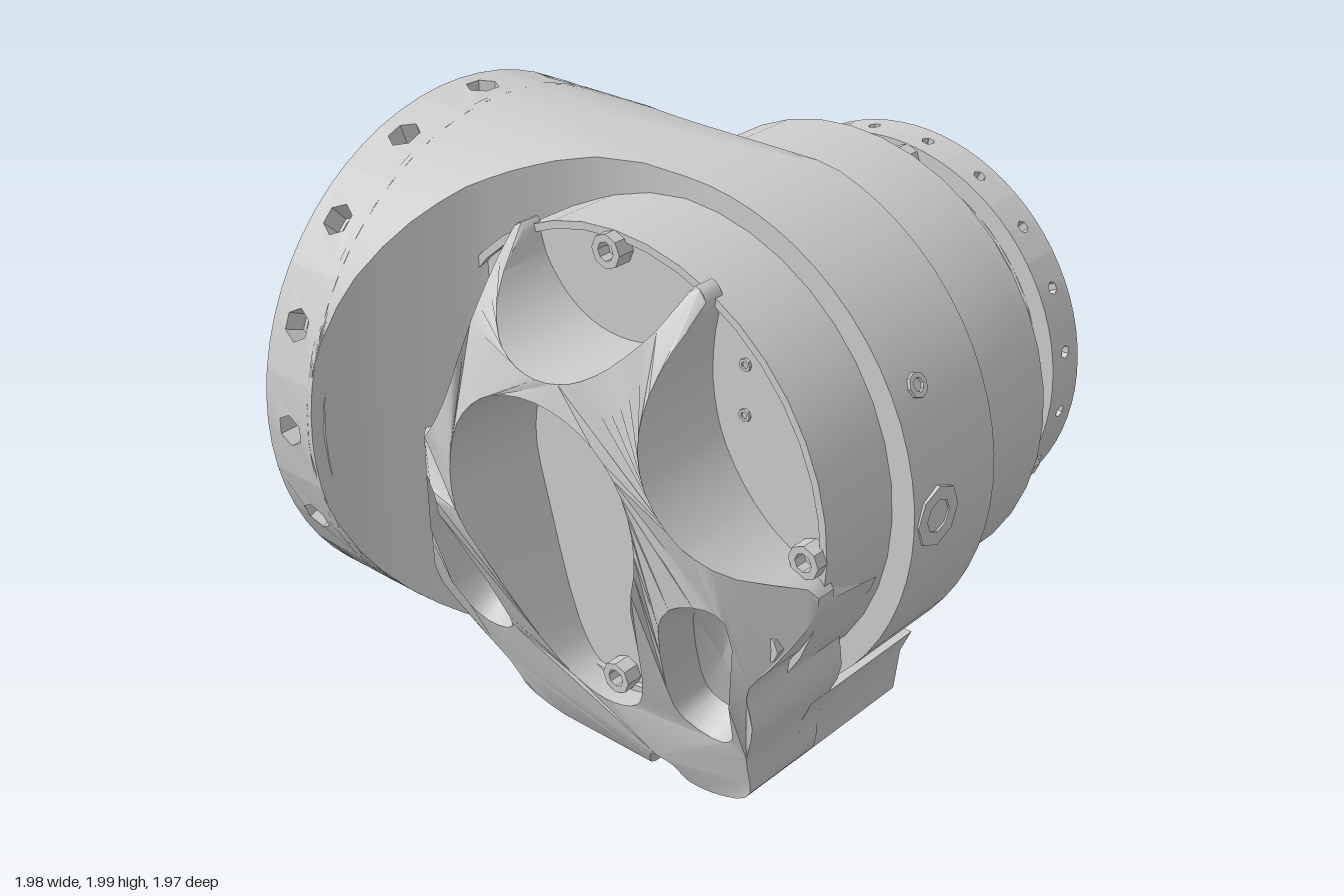
import * as THREE from 'three';
import { toCreasedNormals } from 'three/addons/utils/BufferGeometryUtils.js';

const CX = 0.1, CY = 1.1;              // main axis, along z
const FY = 1.09, FZ = 0.075, FR = 0.905; // flange axis, along x
const mat = new THREE.MeshStandardMaterial({ color: 0xcccccc, side: THREE.DoubleSide });

function add(parent, name, geo, crease = 0.5) {
  const mesh = new THREE.Mesh(toCreasedNormals(geo, crease), mat);
  mesh.name = name;
  parent.add(mesh);
  return mesh;
}
const v2 = ([x, y]) => new THREE.Vector2(x, y);
const mirror = (pts) => pts.map(([x, y]) => [2 * CX - x, y]).reverse();

// closed smooth loop through a few points
function smooth(pts, n) {
  const c = new THREE.CatmullRomCurve3(pts.map(([x, y]) => new THREE.Vector3(x, y, 0)), true, 'centripetal');
  return c.getPoints(n).slice(0, n).map((p) => [p.x, p.y]);
}
// linear interpolation in a short [key, value] list
function lookup(table, k) {
  if (k <= table[0][0]) return table[0][1];
  for (let i = 1; i < table.length; i++) {
    const [k0, a] = table[i - 1], [k1, b] = table[i];
    if (k <= k1) return a + (b - a) * (k - k0) / (k1 - k0);
  }
  return table[table.length - 1][1];
}
function polygon(x, y, r, n) {
  return Array.from({ length: n }, (_, i) => {
    const a = i / n * Math.PI * 2;
    return [x + r * Math.cos(a), y + r * Math.sin(a)];
  });
}
function extrude(outline, holes, depth, z) {
  const s = new THREE.Shape(outline.map(v2));
  holes.forEach((h) => s.holes.push(new THREE.Path(h.map(v2))));
  return new THREE.ExtrudeGeometry(s, { depth, bevelEnabled: false }).translate(0, 0, z);
}
// curved plate around the z axis with a radial hole
function bentPlate(angle, rOut, rIn, z0, z1, hole, turn) {
  const w = angle * rOut / 2, row = [-1, -0.5, 0, 0.5, 1];
  const outline = [...row.map((t) => [t * w, z0]), ...row.map((t) => [-t * w, z1])];
  const g = extrude(outline, [polygon(0, (z0 + z1) / 2, hole, 6)], rOut - rIn, rIn);
  const p = g.attributes.position;
  for (let i = 0; i < p.count; i++) {
    const a = p.getX(i) / rOut + turn, r = p.getZ(i);
    p.setXYZ(i, r * Math.cos(a), r * Math.sin(a), p.getY(i));
  }
  return g;
}
// screw head with a hex socket, facing +z
function socketScrew(parent, name, x, y, z, r, h) {
  const prof = [[r, 0], [r, h], [0.55 * r, h], [0.55 * r, 0.3 * h], [0, 0.3 * h]].map(v2);
  const m = add(parent, name, new THREE.LatheGeometry(prof, 8).rotateX(Math.PI / 2), 0.2);
  m.position.set(x, y, z);
  return m;
}

// housing: flange tube cut down to a round collar by two concave fillets
function housingGeometry() {
  const front = [[-0.79, 0.98], [-0.76, 0.92], [-0.7, 0.81], [-0.6, 0.66], [-0.5, 0.52], [-0.4, 0.42], [-0.3, 0.33], [-0.2, 0.26], [-0.05, 0.21], [0.1, 0.19]];
  const back = [[-0.79, -0.83], [-0.76, -0.72], [-0.7, -0.57], [-0.6, -0.41], [-0.5, -0.31], [-0.4, -0.25], [-0.25, -0.22]];
  const xs = [-0.79, -0.775, -0.76, -0.73, -0.7, -0.65, -0.6, -0.55, -0.5, -0.45, -0.4, -0.35, -0.3, -0.2, -0.05];
  for (let i = 0; i <= 16; i++) xs.push(CX + 0.88 * Math.sin(i / 16 * Math.PI / 2));
  const N = 28;
  const loops = xs.map((x) => {
    const hi = Math.min(lookup(front, x) - FZ, FR), lo = Math.max(lookup(back, x) - FZ, -FR);
    const h = x < CX ? FR - 0.02 * Math.max(0, (x + 0.5) / 0.6) : Math.sqrt(Math.max(0, 0.7744 - (x - CX) ** 2));
    const half = [];
    for (let i = 0; i <= N; i++) {
      const z = (hi + lo) / 2 + (hi - lo) / 2 * Math.cos(i / N * Math.PI);
      half.push([z, Math.min(h, Math.sqrt(Math.max(0, FR * FR - z * z)))]);
    }
    return [...half.map(([z, y]) => [x, FY + y, FZ + z]), ...half.reverse().map(([z, y]) => [x, FY - y, FZ + z])];
  });
  const pos = loops.flat(2), idx = [], M = loops[0].length;
  for (let s = 0; s < loops.length - 1; s++) for (let i = 0; i < M; i++) {
    const a = s * M + i, b = s * M + (i + 1) % M, c = b + M, d = a + M;
    idx.push(a, d, c, a, c, b);
  }
  const g = new THREE.BufferGeometry();
  g.setAttribute('position', new THREE.Float32BufferAttribute(pos, 3));
  g.setIndex(idx);
  return g;
}

// front surface of the guard frame: flattened dome that slopes away below
const dome = [[0.43, 0.85], [0.52, 0.81], [0.62, 0.74], [0.72, 0.64], [0.8, 0.54]];
const slope = [[0, 0.42], [0.05, 0.5], [0.15, 0.55], [0.35, 0.6], [0.95, 0.85]];
const frameZ = (x, y) => Math.min(lookup(dome, Math.hypot(x - CX, Math.max(0, y - CY))), lookup(slope, y));

function buildGuard(group) {
  const side = [[0.22, 1.57], [0.32, 1.63], [0.4, 1.73], [0.44, 1.84], [0.48, 1.81], [0.46, 1.65], [0.46, 1.5], [0.5, 1.35],
    [0.6, 1.2], [0.72, 1.1], [0.9, 1.02], [0.89, 0.92], [0.82, 0.78], [0.77, 0.7], [0.78, 0.55]];
  const bottom = [[0.7, 0.36], [0.68, 0.2], [0.56, 0.11], [0.45, 0.07], [0.38, 0.07], [0.34, 0.13], [0.25, 0.13], [0.2, 0.03],
    [0.15, 0.01], [-0.1, 0.04], [-0.28, 0.1], [-0.35, 0.22], [-0.5, 0.36]];
  const dropHalf = [[0.3, 1.43], [0.43, 1.3], [0.48, 1.1], [0.43, 0.85], [0.31, 0.45], [0.23, 0.34]];
  const drop = smooth([[CX, 1.48], ...dropHalf, [CX, 0.3], ...mirror(dropHalf)], 48);
  const slotL = [[-0.53, 0.92], [-0.48, 0.98], [-0.4, 0.98], [-0.35, 0.9], [-0.25, 0.5], [-0.28, 0.43], [-0.4, 0.4], [-0.48, 0.46]];
  const slots = [slotL, mirror(slotL)].map((s) => smooth(s, 20));
  const outline = smooth([[CX, 1.55], ...side, ...bottom, ...mirror(side)], 130);

  const g = extrude(outline, [drop, ...slots], 1, 0);
  const p = g.attributes.position;
  for (let i = 0; i < p.count; i++) {
    const x = p.getX(i), y = p.getY(i);
    p.setZ(i, p.getZ(i) > 0.5 ? frameZ(x, y) : y < 0.96 ? 0.25 : 0.47);
  }
  add(group, 'guardFrame', g, 0.6);

  // scooped pockets with sloping walls
  slots.forEach((s, k) => {
    const cx = s.reduce((t, q) => t + q[0], 0) / s.length, cy = s.reduce((t, q) => t + q[1], 0) / s.length;
    const pos = [], idx = [], n = s.length;
    [[1, 0], [0.7, 0.12], [0, 0.15]].forEach(([f, d]) => s.forEach(([x, y]) => {
      const px = cx + (x - cx) * f, py = cy + (y - cy) * (f ? 0.3 + 0.7 * f : 0);
      pos.push(px, py, frameZ(px, py) - d);
    }));
    for (let r = 0; r < 2; r++) for (let i = 0; i < n; i++) {
      const a = r * n + i, b = r * n + (i + 1) % n;
      k === 0 ? idx.push(a, b + n, b, a, a + n, b + n) : idx.push(a, b + n, b, a, a + n, b + n);
    }
    const pg = new THREE.BufferGeometry();
    pg.setAttribute('position', new THREE.Float32BufferAttribute(pos, 3));
    // loops run clockwise, so flip each triangle to face the front
    for (let i = 0; i < idx.length; i += 3) [idx[i + 1], idx[i + 2]] = [idx[i + 2], idx[i + 1]];
    pg.setIndex(THREE.ShapeUtils.isClockWise(s.map(v2)) ? idx : idx.reverse());
    add(group, 'guardPocket', pg);
  });

  // sump under the housing
  add(group, 'guardSump', extrude([[0.74, 0.45], ...bottom, [-0.54, 0.45]], [], 0.52, -0.18));
}

export function createModel() {
  const group = new THREE.Group();
  group.name = 'roboticJoint';

  add(group, 'housing', housingGeometry(), 0.6);

  // flange: rim plates and inner lugs share radial bolt holes
  const flange = new THREE.Group();
  flange.name = 'flange';
  flange.position.set(0, FY, FZ);
  flange.rotation.y = Math.PI / 2;
  group.add(flange);
  const step = Math.PI / 8;
  for (let i = 0; i < 16; i++) {
    add(flange, 'flangeRim', bentPlate(step, FR, 0.83, -0.99, -0.77, 0.055, i * step));
    add(flange, 'flangeLug', bentPlate(step * 0.5, 0.83, 0.75, -0.97, -0.79, 0.04, i * step));
  }
  add(flange, 'flangeFloor', new THREE.CylinderGeometry(0.86, 0.86, 0.02, 48).rotateX(Math.PI / 2).translate(0, 0, -0.77));

  // drive core with stepped rear neck and front cover
  const core = new THREE.Group();
  core.name = 'driveUnit';
  core.position.set(CX, CY, 0);
  group.add(core);
  const profile = [[0, -0.93], [0.645, -0.93], [0.645, -0.82], [0.635, -0.82], [0.635, -0.72], [0.605, -0.72], [0.605, -0.63],
    [0.58, -0.63], [0.58, -0.58], [0.805, -0.58], [0.805, -0.29], [0.79, -0.29], [0.79, -0.23], [0.8, -0.23],
    [0.8, 0.5], [0.775, 0.5], [0.775, 0.48], [0, 0.48]];
  add(core, 'driveBody', new THREE.LatheGeometry(profile.map(v2), 40).rotateX(Math.PI / 2), 0.3);

  // rear shoulder ring: screws on every third position, open holes between
  const holes = [polygon(0, 0, 0.58, 40)];
  for (let i = 0; i < 12; i++) {
    const a = (-14.5 + i * 30) * Math.PI / 180, x = 0.74 * Math.cos(a), y = 0.74 * Math.sin(a);
    if (i % 3) holes.push(polygon(x, y, 0.025, 6));
    else socketScrew(core, 'shoulderScrew', x, y, -0.61, 0.055, 0.06).rotation.y = Math.PI;
  }
  add(core, 'shoulderRing', extrude(polygon(0, 0, 0.805, 40), holes, 0.03, -0.61), 0.3);

  // output disc with grouped face holes and small rim holes
  const faceHoles = [];
  for (let q = 0; q < 4; q++) for (const d of [-24, -8, 8, 24]) {
    const a = (45 + q * 90 + d) * Math.PI / 180;
    faceHoles.push(polygon(0.585 * Math.cos(a), 0.585 * Math.sin(a), 0.042, 6));
  }
  add(core, 'outputFace', extrude(polygon(0, 0, 0.69, 40), faceHoles, 0.05, -0.985), 0.3);
  for (let i = 0; i < 20; i++)
    add(core, 'outputRim', bentPlate(Math.PI / 10, 0.705, 0.645, -0.97, -0.82, 0.022, (i + 0.5) * Math.PI / 10));

  buildGuard(group);

  // front cover screws, small pins and guard screws
  for (let i = 0; i < 4; i++) {
    const a = i * Math.PI / 2;
    socketScrew(core, 'coverScrew', 0.745 * Math.cos(a), 0.745 * Math.sin(a), 0.48, 0.055, 0.06);
  }
  for (const s of [-1, 1]) {
    for (const y of [0.36, 0.52]) socketScrew(core, 'coverPin', s * 0.48, y, 0.48, 0.02, 0.01);
    socketScrew(core, 'guardScrew', s * 0.69, -0.26, 0.58, 0.05, 0.06);
  }

  // plugs on the collar's outer side
  for (const [deg, r] of [[0, 0.1], [27, 0.04]]) {
    const a = deg * Math.PI / 180;
    const plug = socketScrew(core, 'collarPlug', 0.85 * Math.cos(a), 0.85 * Math.sin(a), FZ, r, 0.035);
    plug.rotation.set(0, Math.PI / 2, a, 'ZYX');
  }
  return group;
}
